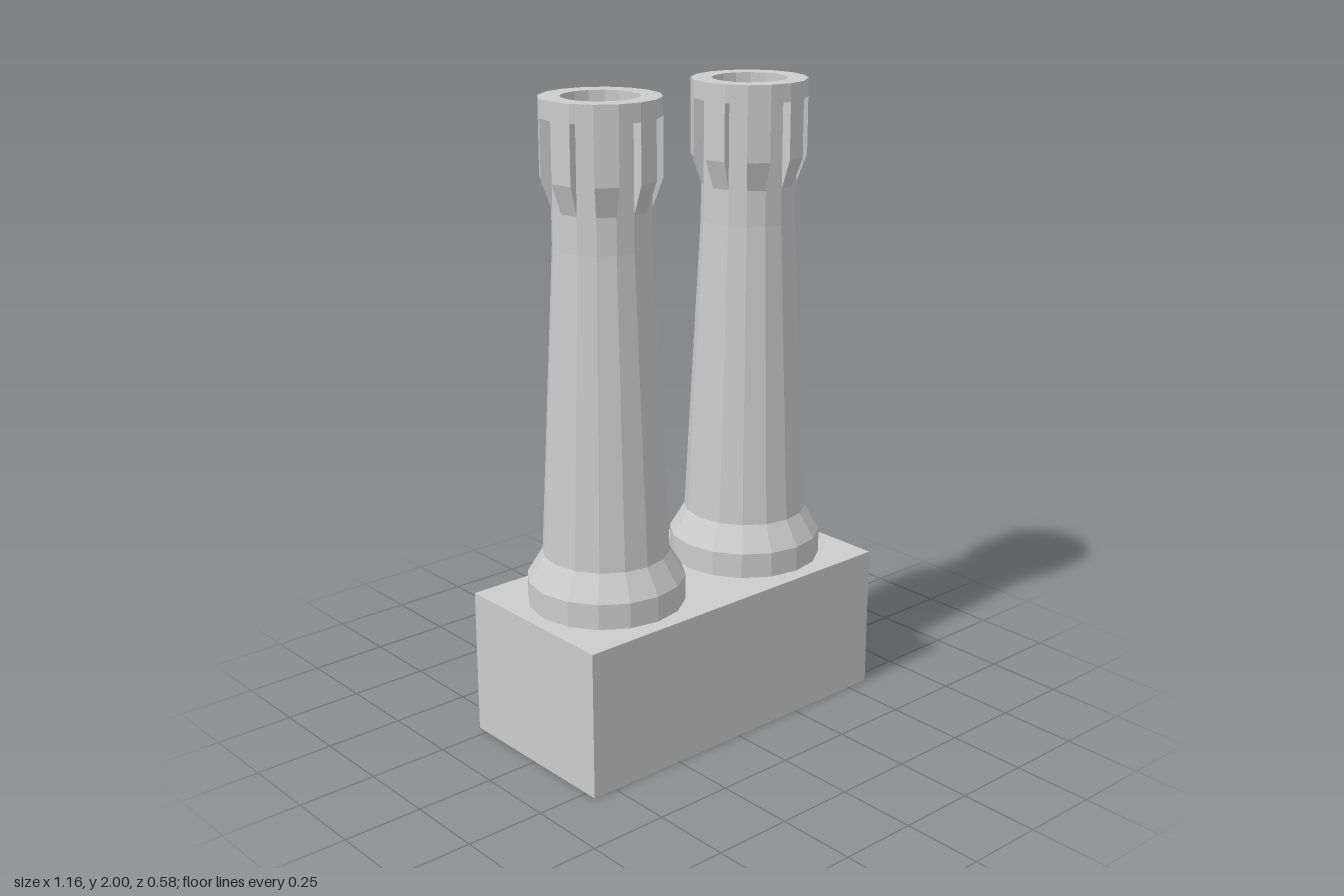
import * as THREE from 'three';

const SIDES = 16;
const STEP = (Math.PI * 2) / SIDES;
const points = (list) => list.map(([r, y]) => new THREE.Vector2(r, y));

// Foot, tapering shaft, overhanging collar and the recessed flue, as one turned profile
const PILLAR = points([
  [0.243, 0.465], [0.243, 0.545], [0.195, 0.625], [0.146, 1.57], [0.146, 1.945],
  [0.178, 1.945], [0.178, 2], [0.115, 2], [0.115, 1.8], [0, 1.8],
]);

// Side outline of one bracket: sloped underside, upright face
const BRACKET = points([[0.144, 1.675], [0.178, 1.77], [0.178, 1.945], [0.144, 1.945]]);

function createModel() {
  const model = new THREE.Group();
  const material = new THREE.MeshStandardMaterial({ color: 0xcccccc, flatShading: true });
  const thin = new THREE.MeshStandardMaterial({
    color: 0xcccccc, flatShading: true, side: THREE.DoubleSide,
  });

  const add = (parent, name, geometry, mat = material) => {
    const mesh = new THREE.Mesh(geometry, mat);
    mesh.name = name;
    parent.add(mesh);
    return mesh;
  };

  // Rectangular plinth
  add(model, 'plinth', new THREE.BoxGeometry(1.16, 0.465, 0.58)).position.y = 0.2325;

  const pillarGeometry = new THREE.LatheGeometry(PILLAR, SIDES);
  const faceGeometry = new THREE.LatheGeometry(BRACKET, 1, 0, STEP);
  const cheekGeometry = new THREE.ShapeGeometry(new THREE.Shape(BRACKET));

  for (const side of [-1, 1]) {
    const chimney = new THREE.Group();
    chimney.name = side > 0 ? 'leftChimney' : 'rightChimney';
    chimney.position.x = side * 0.29;
    add(chimney, 'stack', pillarGeometry);

    // Brackets under the collar, on every second facet
    for (let i = 0; i < SIDES; i += 2) {
      const bracket = new THREE.Group();
      bracket.name = 'bracket';
      bracket.rotation.y = i * STEP;
      add(bracket, 'bracketFace', faceGeometry);
      for (const angle of [0, STEP]) {
        add(bracket, 'bracketCheek', cheekGeometry, thin).rotation.y = angle - Math.PI / 2;
      }
      chimney.add(bracket);
    }
    model.add(chimney);
  }
  return model;
}

export { createModel };
